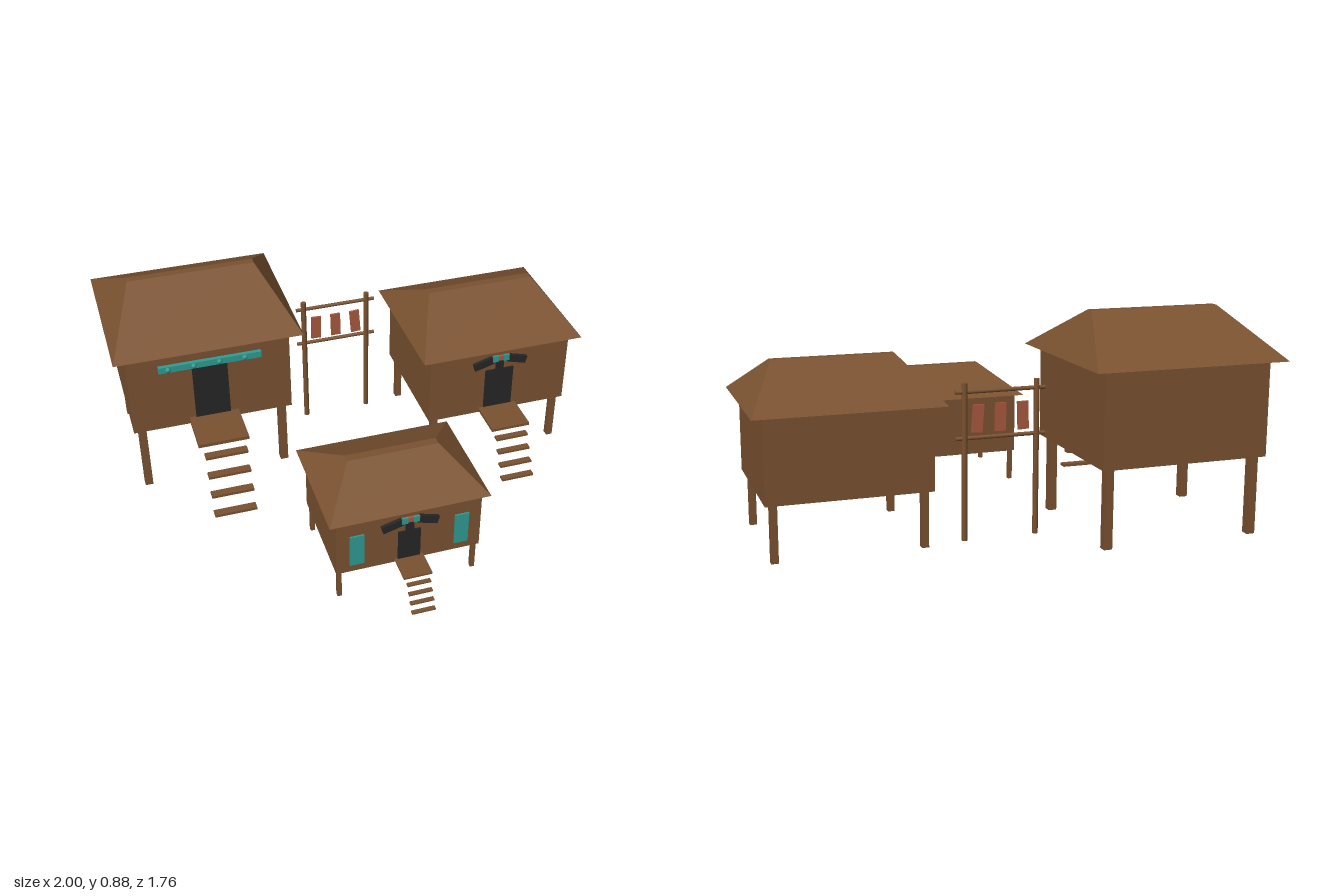
import * as THREE from 'three';

const paint = (name, color) => {
  const m = new THREE.MeshStandardMaterial({ color });
  m.name = name;
  return m;
};

export function createModel() {
  const wood = paint('brown wood', 0x7a5230);
  const dark = paint('charcoal', 0x262626);
  const teal = paint('teal', 0x2f9d93);
  const brick = paint('terracotta', 0xa8583e);

  const add = (parent, name, geo, mat, x, y, z) => {
    const mesh = new THREE.Mesh(geo, mat);
    mesh.name = name;
    mesh.position.set(x, y, z);
    parent.add(mesh);
    return mesh;
  };
  // Box given by its low and high limits on each axis
  const block = (parent, name, mat, [x0, x1], [y0, y1], [z0, z1]) =>
    add(parent, name, new THREE.BoxGeometry(x1 - x0, y1 - y0, z1 - z0), mat,
      (x0 + x1) / 2, (y0 + y1) / 2, (z0 + z1) / 2);

  // Hipped roof: a box whose upper corners are drawn in to a narrow ridge
  const hipRoof = (parent, { x, z, y, ridgeX, ridgeZ }) => {
    let geo = new THREE.BoxGeometry(1, 1, 1);
    const p = geo.attributes.position;
    for (let i = 0; i < p.count; i++) {
      const top = p.getY(i) > 0;
      const a = p.getX(i) > 0 ? 1 : 0, b = p.getZ(i) > 0 ? 1 : 0;
      p.setXYZ(i, (top ? ridgeX : x)[a], y[top ? 1 : 0], (top ? ridgeZ : z)[b]);
    }
    geo = geo.toNonIndexed();
    geo.computeVertexNormals();
    add(parent, 'roof', geo, wood, 0, 0, 0);
  };

  const makeHut = (name, h) => {
    const hut = new THREE.Group();
    hut.name = name;
    hipRoof(hut, h.roof);
    block(hut, 'walls', wood, h.x, [h.floor, h.roof.y[0]], h.z);
    // Stilts
    const r = h.leg / 2;
    for (const x of h.legX) for (const z of h.legZ)
      block(hut, 'stilt', wood, [x - r, x + r], [0, h.floor], [z - r, z + r]);
    // Door, porch and floating steps
    const front = h.z[1];
    block(hut, 'door', dark, h.doorX, h.doorY, [front, front + 0.006]);
    block(hut, 'porch', wood, h.porchX, h.porchY, [front, h.porchEnd]);
    const { x, y, z, depth, thick } = h.steps;
    for (let i = 0; i < 4; i++) {
      const sy = y[0] + (y[1] - y[0]) * i / 3, sz = z[0] + (z[1] - z[0]) * i / 3;
      block(hut, 'step', wood, x, [sy - thick / 2, sy + thick / 2], [sz - depth / 2, sz + depth / 2]);
    }
    return hut;
  };

  // Winged ornament above a door
  const addOrnament = (hut, x, y, z, s) => {
    const g = new THREE.Group();
    g.name = 'doorOrnament';
    g.position.set(x, y, z);
    g.scale.setScalar(s);
    for (const side of [-1, 1]) {
      const wing = add(g, 'wing', new THREE.BoxGeometry(0.09, 0.034, 0.016), dark, side * 0.077, -0.02, 0.008);
      wing.rotation.z = -side * 0.28;
      add(g, 'ornamentPlate', new THREE.BoxGeometry(0.026, 0.03, 0.009), teal, side * 0.025, 0, 0.015);
    }
    add(g, 'ornamentCentre', new THREE.BoxGeometry(0.024, 0.022, 0.012), brick, 0, 0, 0.012);
    add(g, 'ornamentStem', new THREE.BoxGeometry(0.034, 0.06, 0.012), dark, 0, -0.04, 0.006);
    hut.add(g);
  };

  const model = new THREE.Group();
  model.name = 'stiltVillage';

  // Large hut
  const large = makeHut('largeHut', {
    x: [-0.95, -0.26], z: [-0.825, -0.2], floor: 0.315,
    roof: { x: [-1, -0.205], z: [-0.88, -0.16], y: [0.695, 0.875], ridgeX: [-0.873, -0.33], ridgeZ: [-0.537, -0.503] },
    leg: 0.034, legX: [-0.912, -0.297], legZ: [-0.788, -0.245],
    doorX: [-0.68, -0.53], doorY: [0.34, 0.597],
    porchX: [-0.71, -0.495], porchY: [0.331, 0.347], porchEnd: 0,
    steps: { x: [-0.69, -0.51], y: [0.297, 0.077], z: [0.022, 0.135], depth: 0.036, thick: 0.012 },
  });
  block(large, 'lintelBeam', teal, [-0.82, -0.385], [0.606, 0.634], [-0.2, -0.182]);
  for (let i = 0; i < 4; i++)
    add(large, 'lintelStud', new THREE.SphereGeometry(0.012, 8, 6), teal, -0.78 + i * 0.108, 0.62, -0.182);

  // Medium hut
  const medium = makeHut('mediumHut', {
    x: [0.315, 0.955], z: [-0.575, -0.022], floor: 0.223,
    roof: { x: [0.273, 1], z: [-0.622, 0.014], y: [0.556, 0.714], ridgeX: [0.395, 0.876], ridgeZ: [-0.324, -0.288] },
    leg: 0.028, legX: [0.348, 0.922], legZ: [-0.545, -0.051],
    doorX: [0.57, 0.7], doorY: [0.25, 0.445],
    porchX: [0.548, 0.722], porchY: [0.234, 0.247], porchEnd: 0.145,
    steps: { x: [0.56, 0.705], y: [0.207, 0.052], z: [0.162, 0.252], depth: 0.028, thick: 0.01 },
  });
  addOrnament(medium, 0.633, 0.508, -0.022, 1);

  // Small hut
  const small = makeHut('smallHut', {
    x: [-0.318, 0.276], z: [0.246, 0.685], floor: 0.134,
    roof: { x: [-0.347, 0.305], z: [0.211, 0.708], y: [0.396, 0.513], ridgeX: [-0.208, 0.168], ridgeZ: [0.44, 0.476] },
    leg: 0.018, legX: [-0.302, 0.26], legZ: [0.264, 0.664],
    doorX: [-0.067, 0.025], doorY: [0.149, 0.29],
    porchX: [-0.079, 0.038], porchY: [0.142, 0.15], porchEnd: 0.8,
    steps: { x: [-0.07, 0.027], y: [0.123, 0.031], z: [0.812, 0.872], depth: 0.018, thick: 0.006 },
  });
  addOrnament(small, -0.021, 0.353, 0.685, 0.95);
  for (const x of [-0.235, 0.195])
    block(small, 'windowPanel', teal, [x - 0.029, x + 0.029], [0.17, 0.316], [0.685, 0.692]);

  // Drying rack between the two rear huts
  const rack = new THREE.Group();
  rack.name = 'dryingRack';
  for (const x of [-0.113, 0.18])
    add(rack, 'rackPost', new THREE.CylinderGeometry(0.012, 0.012, 0.62, 8), wood, x, 0.31, -0.522);
  for (const y of [0.585, 0.405]) {
    const rail = add(rack, 'rackRail', new THREE.CylinderGeometry(0.008, 0.008, 0.364, 8), wood, 0.035, y, -0.522);
    rail.rotation.z = Math.PI / 2;
  }
  for (const x of [-0.057, 0.035, 0.127]) {
    const strip = add(rack, 'hangingStrip', new THREE.BoxGeometry(0.044, 0.11, 0.01), brick, x, 0.48, -0.522);
    strip.rotation.z = x * 0.6;
  }

  model.add(large, medium, small, rack);
  return model;
}
